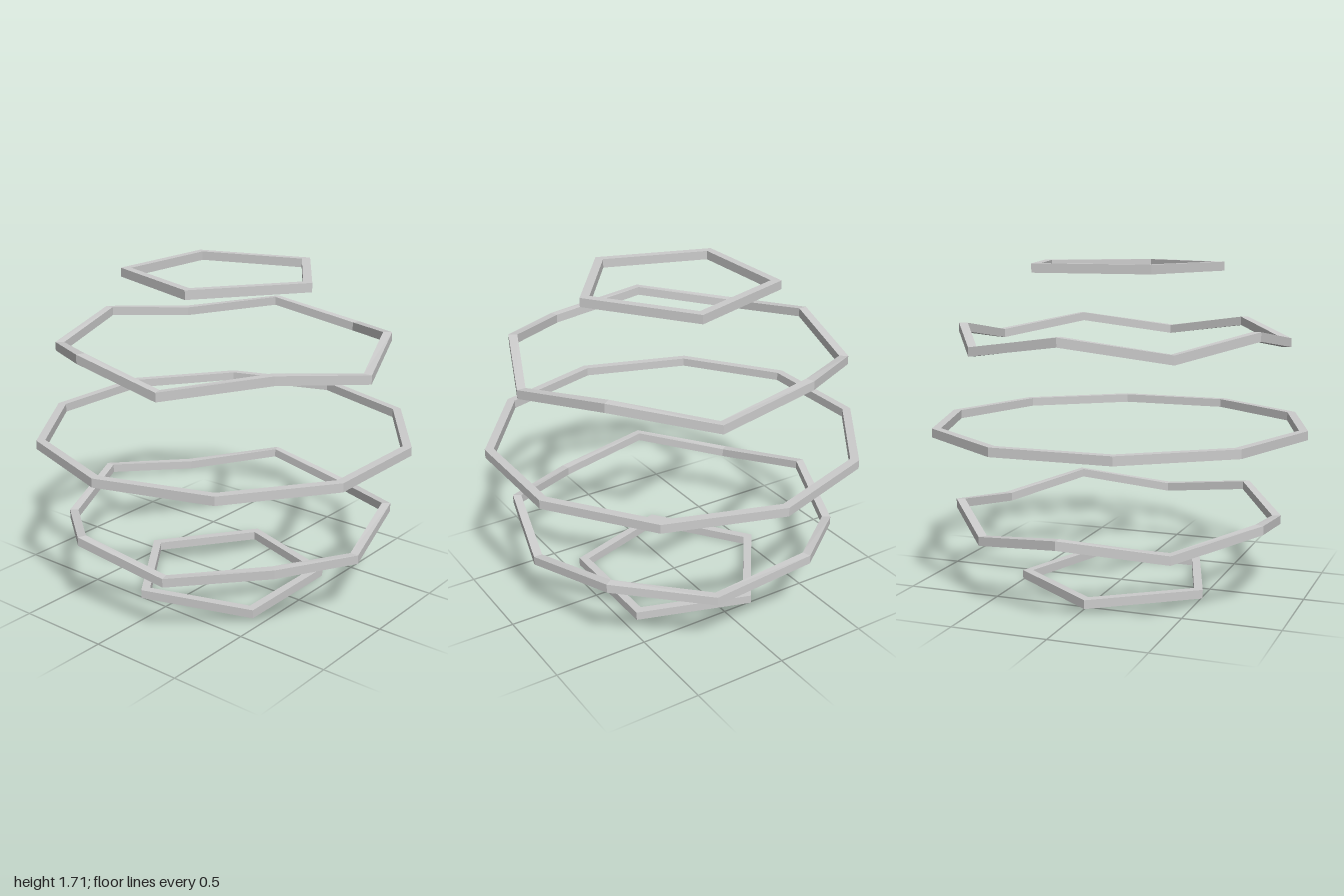
import * as THREE from 'three';

const BAND_HEIGHT = 0.046;
const BAND_WIDTH = 0.044;
const MID_Y = 0.856;

// Closed polygonal band with a rectangular section; corners alternate between two radii and heights
function ring(name, sides, startAngle, corners) {
  const inset = BAND_WIDTH / Math.cos(Math.PI / sides);
  const h = BAND_HEIGHT / 2;
  const sections = [];
  for (let i = 0; i < sides; i++) {
    const a = startAngle + (i / sides) * Math.PI * 2;
    const [radius, y] = corners[i % corners.length];
    // Section order: outer bottom, outer top, inner top, inner bottom
    sections.push([[radius, y - h], [radius, y + h], [radius - inset, y + h], [radius - inset, y - h]]
      .map(([r, py]) => [r * Math.cos(a), py, r * Math.sin(a)]));
  }
  const positions = [];
  for (let i = 0; i < sides; i++) {
    const s = sections[i], t = sections[(i + 1) % sides];
    for (let j = 0; j < 4; j++) {
      const k = (j + 1) % 4;
      positions.push(...s[j], ...s[k], ...t[k], ...s[j], ...t[k], ...t[j]);
    }
  }
  const geometry = new THREE.BufferGeometry();
  geometry.setAttribute('position', new THREE.Float32BufferAttribute(positions, 3));
  geometry.computeVertexNormals();
  const mesh = new THREE.Mesh(geometry, new THREE.MeshStandardMaterial({ color: 0xcccccc, flatShading: true }));
  mesh.name = name;
  return mesh;
}

export function createModel() {
  const group = new THREE.Group();
  group.name = 'ringSphere';

  // Flat ten-sided ring around the middle
  group.add(ring('middleRing', 10, Math.PI / 2, [[1, MID_Y]]));

  // Each upper ring has a point-mirrored partner below
  for (const [prefix, side, start] of [['upper', 1, 0], ['lower', -1, Math.PI]]) {
    // Zigzag ring: wide corners dip toward the middle, narrow ones rise away from it
    group.add(ring(prefix + 'ZigzagRing', 10, start,
      [[0.89, MID_Y + side * 0.437], [0.855, MID_Y + side * 0.513]]));
    // Small pentagon cap
    group.add(ring(prefix + 'PentagonRing', 5, start, [[0.535, MID_Y + side * 0.833]]));
  }
  return group;
}
